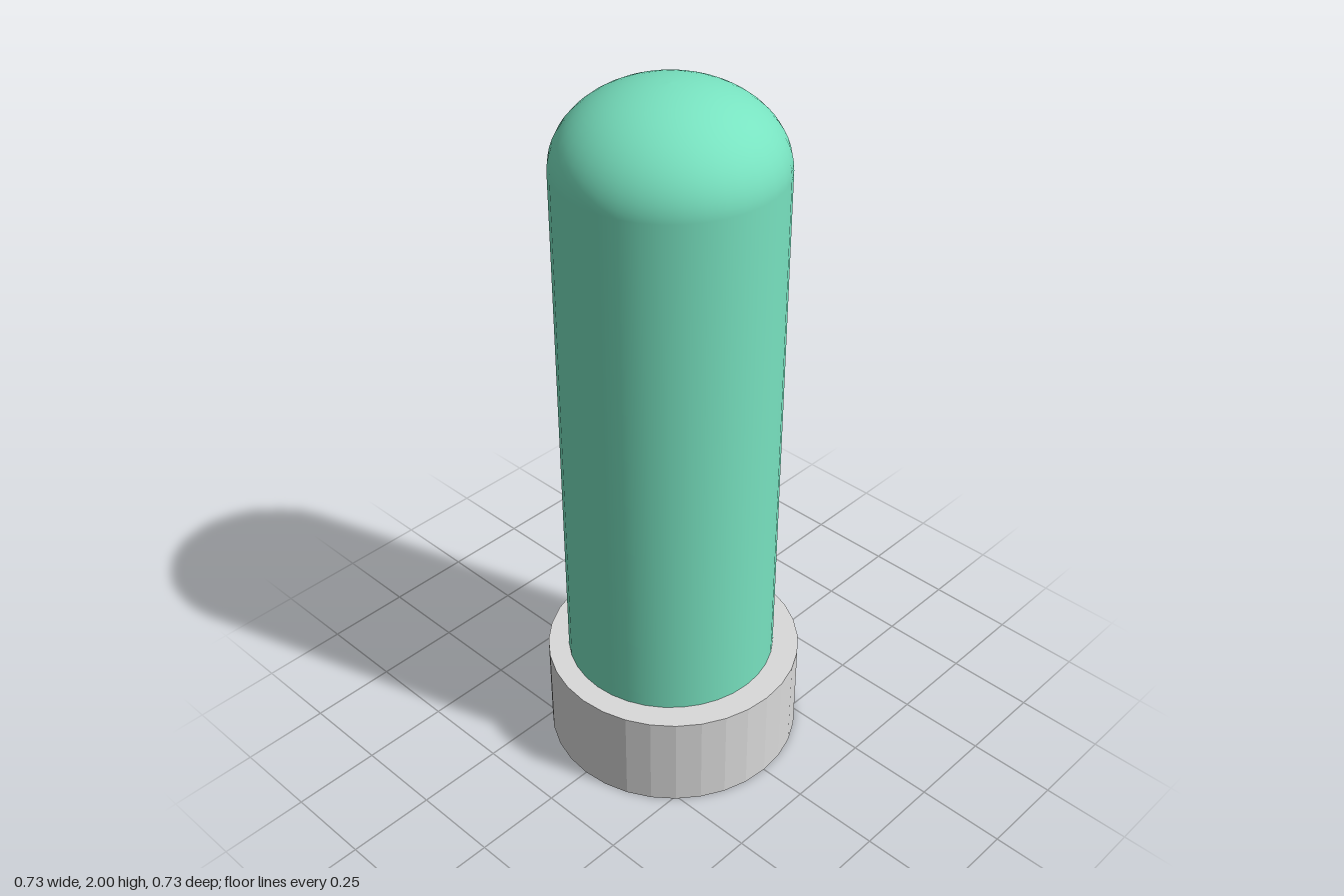
import * as THREE from 'three';

export function createModel() {
  const model = new THREE.Group();
  const green = new THREE.MeshStandardMaterial({ color: 0x78e2c0 });
  green.name = 'mint green';
  const grey = new THREE.MeshStandardMaterial({ color: 0xdadada });
  grey.name = 'light grey';
  grey.flatShading = true;

  // Faceted collar the capsule stands in
  const baseHeight = 0.285;
  const base = new THREE.Mesh(new THREE.CylinderGeometry(0.363, 0.363, baseHeight, 32), grey);
  base.name = 'base';
  base.position.y = baseHeight / 2;
  model.add(base);

  // Smooth column with a flattened dome, set slightly off centre
  const radius = 0.297, shoulder = 1.785, domeHeight = 0.215, steps = 16;
  const profile = [new THREE.Vector2(radius, 0.01)];
  for (let i = 0; i <= steps; i++) {
    const a = (i / steps) * Math.PI / 2;
    profile.push(new THREE.Vector2(
      i === steps ? 0 : radius * Math.cos(a),
      shoulder + domeHeight * Math.sin(a)
    ));
  }
  const body = new THREE.Mesh(new THREE.LatheGeometry(profile, 36), green);
  body.name = 'domedBody';
  body.position.x = -0.01;
  model.add(body);

  return model;
}
